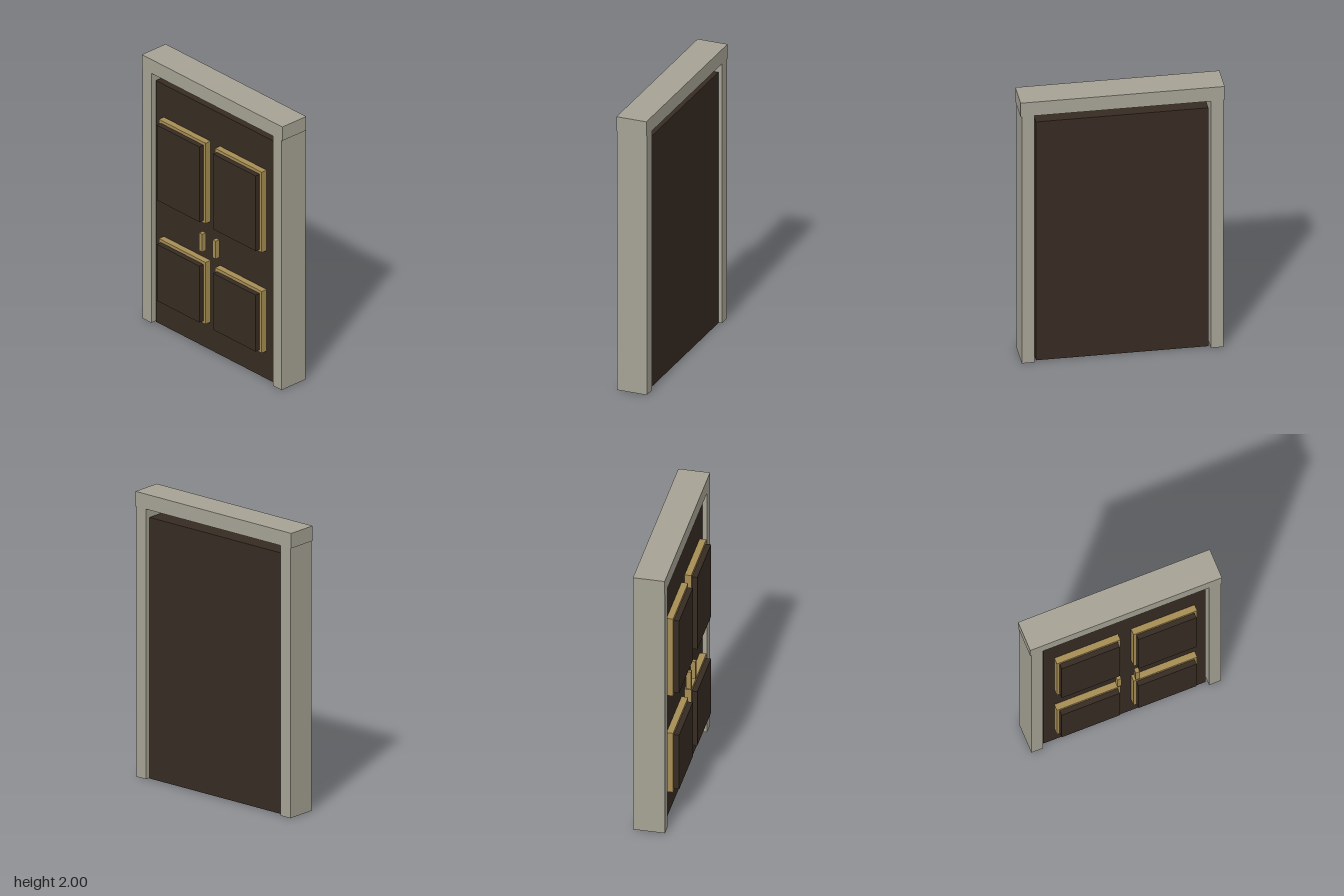
import * as THREE from 'three';

export function createModel() {
  const model = new THREE.Group();
  const mat = (name, color) => {
    const m = new THREE.MeshStandardMaterial({ color });
    m.name = name;
    return m;
  };
  const stone = mat('stone', 0xa5a294);
  const wood = mat('dark wood', 0x362b22);
  const brass = mat('brass', 0xa68d54);

  // Box given by its low and high limits on each axis
  const box = (name, material, [x0, x1], [y0, y1], [z0, z1]) => {
    const mesh = new THREE.Mesh(new THREE.BoxGeometry(x1 - x0, y1 - y0, z1 - z0), material);
    mesh.position.set((x0 + x1) / 2, (y0 + y1) / 2, (z0 + z1) / 2);
    mesh.name = name;
    model.add(mesh);
  };

  const depth = [-0.135, 0.082];
  box('lintel', stone, [-0.69, 0.69], [1.895, 2], depth);
  box('door', wood, [-0.583, 0.583], [0.004, 1.835], [-0.115, 0.053]);

  for (const [side, s] of [['left', 1], ['right', -1]]) {
    const span = (a, b) => (s > 0 ? [a, b] : [-b, -a]);
    box(side + 'Jamb', stone, span(0.597, 0.682), [0, 1.895], depth);
    box(side + 'Handle', brass, span(0.052, 0.081), [0.77, 0.905], [0.091, 0.125]);

    // Raised panels on brass surrounds
    for (const [level, y0, y1] of [['Lower', 0.215, 0.683], ['Upper', 0.978, 1.588]]) {
      box(side + level + 'Trim', brass, span(0.047, 0.505), [y0, y1], [0.05, 0.098]);
      box(side + level + 'Panel', wood, span(0.067, 0.485), [y0 + 0.018, y1 - 0.022], [0.09, 0.135]);
    }
  }
  return model;
}
